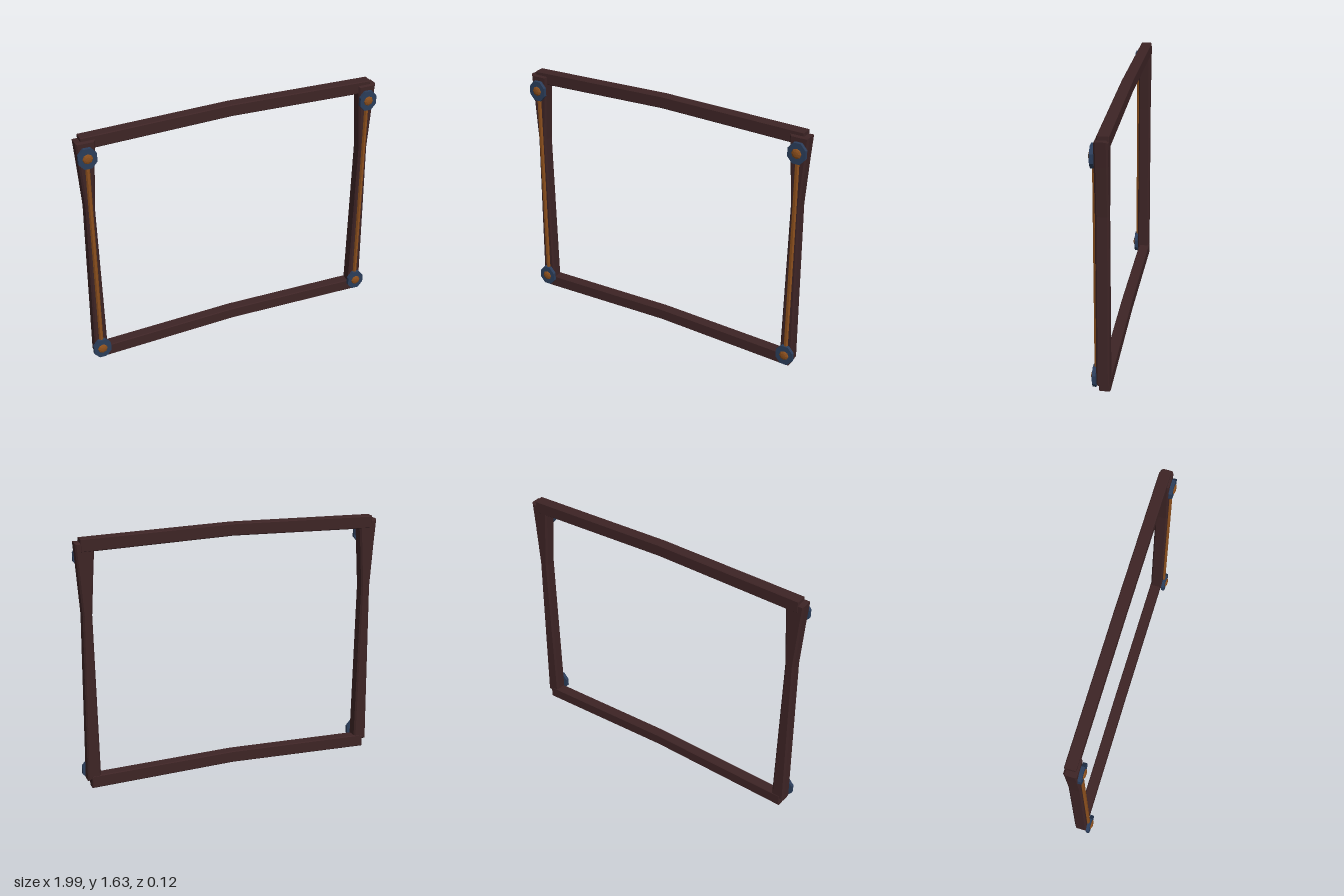
import * as THREE from 'three';

const material = (name, color) => {
  const m = new THREE.MeshStandardMaterial({ color, flatShading: true });
  m.name = name;
  return m;
};

// Chamfered slab from an outline, spanning zBack to zFront
function slab(points, zBack, zFront, bevel) {
  const shape = new THREE.Shape(points.map(([x, y]) => new THREE.Vector2(x, y)));
  const geometry = new THREE.ExtrudeGeometry(shape, {
    depth: zFront - zBack - 2 * bevel,
    bevelEnabled: true,
    bevelThickness: bevel,
    bevelSize: bevel,
    bevelOffset: -bevel,
    bevelSegments: 1,
  });
  return geometry.translate(0, 0, zBack + bevel);
}

export function createModel() {
  const wood = material('dark wood', 0x3d2425);
  const copper = material('copper', 0x8a4e1c);
  const steel = material('blue steel', 0x2b3d5a);
  const model = new THREE.Group();
  model.name = 'frame';

  const add = (parent, name, geometry, mat, x = 0, y = 0, z = 0) => {
    const mesh = new THREE.Mesh(geometry, mat);
    mesh.name = name;
    mesh.position.set(x, y, z);
    parent.add(mesh);
    return mesh;
  };

  // Rails, gently peaked in the middle
  const rail = (half, rise) => slab([
    [-half, 0], [0, rise], [half, 0],
    [half, 0.081], [0, rise + 0.077], [-half, 0.081],
  ], -0.057, 0.013, 0.005);
  add(model, 'topRail', rail(0.96, 0.026), wood, 0, 1.532);
  add(model, 'bottomRail', rail(0.95, 0.029), wood, 0, 0.004);

  // Posts, narrow at the middle and flared at the top: [y, half width]
  const flare = [[0.055, 0.043], [1.14, 0.029], [1.44, 0.049], [1.59, 0.061]];
  const outline = [
    ...flare.map(([y, w]) => [w, y]),
    ...flare.map(([y, w]) => [-w, y]).reverse(),
  ];
  const postGeometry = slab(outline, -0.055, 0.025, 0.01);

  // Copper inlay rod, octagonal plate and faceted rivet
  const rodGeometry = new THREE.CylinderGeometry(0.014, 0.014, 1.39, 6, 1, false, Math.PI / 6);
  const plateGeometry = new THREE.CylinderGeometry(0.062, 0.062, 0.022, 8, 1, false, Math.PI / 8)
    .rotateX(Math.PI / 2).scale(1, 1.14, 1);
  const rivetGeometry = new THREE.SphereGeometry(0.033, 8, 3, 0, Math.PI * 2, 0, Math.PI / 2)
    .rotateX(Math.PI / 2).scale(1, 1, 0.4);

  for (const [side, x] of [['left', 0.933], ['right', -0.933]]) {
    const post = new THREE.Group();
    post.name = side + 'Post';
    post.position.x = x;
    model.add(post);
    add(post, 'post', postGeometry, wood);
    add(post, 'inlayRod', rodGeometry, copper, 0, 0.795, 0.027);
    for (const [end, y] of [['upper', 1.49], ['lower', 0.1]]) {
      add(post, end + 'Plate', plateGeometry, steel, 0, y, 0.037);
      add(post, end + 'Rivet', rivetGeometry, copper, 0, y, 0.047);
    }
  }
  return model;
}
